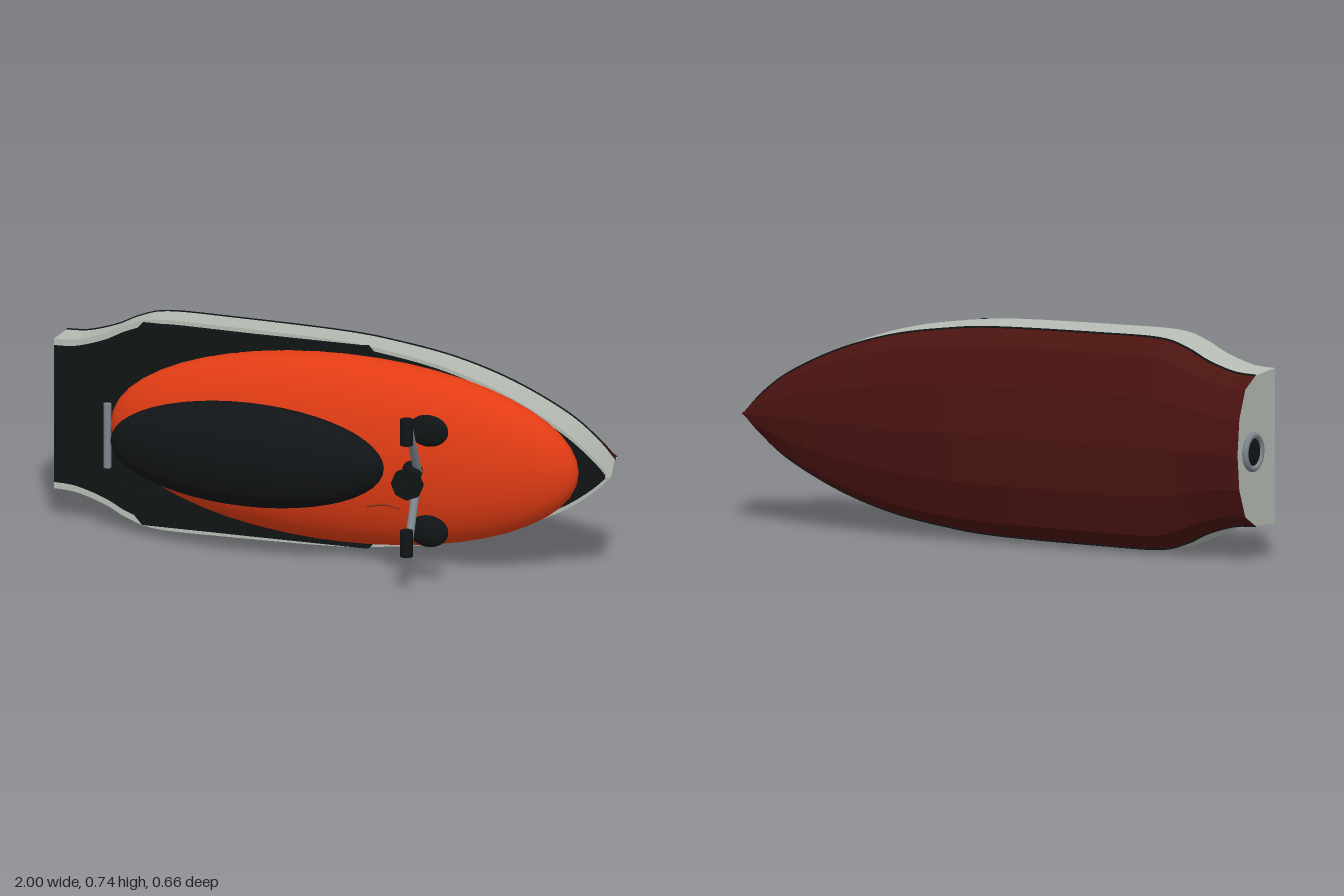
import * as THREE from 'three';
import { mergeGeometries } from 'three/addons/utils/BufferGeometryUtils.js';

const MID = 0.372; // height of the craft's centre plane (it lies on its side)
const mat = (color) => new THREE.MeshStandardMaterial({ color, side: THREE.DoubleSide });
const black = mat(0x111416), orange = mat(0xe23c14), red = mat(0x4a1310),
  pale = mat(0xb6bcb4), metal = mat(0x7c848c);
const V = (x, y, z) => new THREE.Vector3(x, y, z);

export function createModel() {
  const model = new THREE.Group();
  const add = (name, geometry, material, x = 0, y = 0, z = 0) => {
    const mesh = new THREE.Mesh(geometry, material);
    mesh.name = name;
    mesh.position.set(x, y + MID, z);
    model.add(mesh);
    return mesh;
  };
  const ellipsoid = (name, material, c, r, tilt = 0) => {
    const g = new THREE.SphereGeometry(1, 48, 32).rotateX(Math.PI / 2).scale(...r).rotateY(tilt);
    return add(name, g, material, ...c);
  };
  const rod = (name, material, a, b, r0, r1 = r0, sides = 20) => {
    const d = b.clone().sub(a);
    const m = add(name, new THREE.CylinderGeometry(r1, r0, d.length(), sides), material,
      ...a.clone().add(b).multiplyScalar(0.5).toArray());
    m.quaternion.setFromUnitVectors(V(0, 1, 0), d.normalize());
    return m;
  };

  // Hull plan outline: x along the craft, half width
  const outline = new THREE.SplineCurve([
    [-0.98, 0.262], [-0.9, 0.268], [-0.8, 0.3], [-0.72, 0.34], [-0.62, 0.367], [-0.4, 0.369],
    [0, 0.362], [0.2, 0.343], [0.4, 0.308], [0.6, 0.246], [0.8, 0.155], [0.92, 0.075], [1, 0],
  ].map((p) => new THREE.Vector2(...p))).getPoints(72);
  const bow = (x) => Math.max(0, (x - 0.1) / 0.9);
  const rise = (x) => 1 - 0.75 * bow(x) ** 2;
  const topZ = (x) => -0.066 + 0.056 * bow(x) ** 2;
  const low = (x) => x - 0.05 * bow(x) ** 3;
  const rail = (f) => outline.map(({ x, y }) => V(...f(x, Math.max(0, y))));
  // Rails from deck centre, over the lip and down to the keel
  const rails = [
    rail((x) => [Math.min(x, 0.98), 0, topZ(x)]),
    rail((x, w) => [Math.min(x, 0.98), Math.max(0, w - 0.014 - (x < -0.66 ? 0.008 : 0)), topZ(x)]),
    rail((x, w) => [x, w, topZ(x)]),
    rail((x, w) => [low(x), w * 0.967, -0.203]),
    rail((x, w) => [low(x), w * 0.82, -0.203 - 0.073 * rise(x)]),
    rail((x, w) => [low(x), w * 0.455, -0.203 - 0.115 * rise(x)]),
    rail((x) => [low(x), 0, -0.203 - 0.128 * rise(x)]),
  ];
  const strip = (a, b, side) => {
    const n = a.length, pts = [...a, ...b].map((p) => V(p.x, p.y * side, p.z)), idx = [];
    for (let i = 0; i < n - 1; i++) {
      const quad = [i, i + 1, n + i, i + 1, n + i + 1, n + i];
      idx.push(...(side > 0 ? quad : quad.reverse()));
    }
    const g = new THREE.BufferGeometry().setFromPoints(pts);
    g.setIndex(idx);
    g.computeVertexNormals();
    return g;
  };
  const skin = (name, from, to, material) => {
    const parts = [];
    for (let i = from; i < to; i++)
      for (const s of [1, -1]) parts.push(strip(rails[i], rails[i + 1], s));
    add(name, mergeGeometries(parts), material);
  };
  skin('deck', 0, 1, black);
  skin('sideBand', 1, 3, pale);
  skin('lowerHull', 3, 6, red);

  // Flat transom closing the stern
  const half = rails.slice(1).map((r) => r[0]);
  const section = [...half, ...half.slice(0, -1).reverse().map((p) => V(p.x, -p.y, p.z))];
  const transomShape = new THREE.Shape(section.map((p) => new THREE.Vector2(p.y, p.z)));
  const transom = new THREE.ShapeGeometry(transomShape);
  transom.applyMatrix4(new THREE.Matrix4().makeBasis(V(0, 1, 0), V(0, 0, 1), V(1, 0, 0)));
  add('transom', transom, pale, -0.98);

  // Black rubbing strip along the seam
  const seam = [...rails[3], ...rails[3].slice(0, -1).reverse().map((p) => V(p.x, -p.y, p.z))];
  add('rubbingStrip', new THREE.TubeGeometry(new THREE.CatmullRomCurve3(seam), 160, 0.004, 6), black);
  rod('bowTrim', pale, V(0.95, 0, -0.203), V(0.95, 0, -0.23), 0.004, 0.001, 8);

  // Jet nozzle
  add('nozzleRing', new THREE.TorusGeometry(0.056, 0.011, 12, 32).rotateY(Math.PI / 2), metal, -0.988, 0, -0.235);
  rod('nozzleBore', black, V(-0.975, 0, -0.235), V(-0.99, 0, -0.235), 0.055, 0.055, 32);

  // Footwells with ribs, one each side
  for (const s of [1, -1]) {
    const well = new THREE.Shape([[-0.74, 0.23], [-0.72, 0.29], [-0.665, 0.354], [0.13, 0.354], [0.165, 0.32], [0.165, 0.23]]
      .map(([x, y]) => new THREE.Vector2(x, y * s)));
    add('footwell', new THREE.ExtrudeGeometry(well, { depth: 0.018, bevelEnabled: false }), black, 0, 0, -0.071);
    for (let i = 0; i < 10; i++)
      add('footwellRib', new THREE.BoxGeometry(0.012, 0.09, 0.008), black, -0.65 + i * 0.08, s * 0.295, -0.05);
    add('footwellStop', new THREE.BoxGeometry(0.14, 0.016, 0.026), black, 0.07, s * 0.337, -0.056);
  }

  // Body and seat
  ellipsoid('body', orange, [0.057, 0, -0.031], [0.828, 0.326, 0.167], -0.02);
  ellipsoid('seat', black, [-0.228, 0, 0.144], [0.482, 0.178, 0.116], -0.015);
  rod('grabHandle', metal, V(-0.735, -0.112, 0.1), V(-0.735, 0.112, 0.1), 0.013);

  // Steering column, display, bars, grips and mirrors
  rod('steeringColumn', black, V(0.345, 0, 0.11), V(0.388, 0, 0.285), 0.036, 0.026);
  rod('displayPod', black, V(0.38, 0, 0.264), V(0.38, 0, 0.284), 0.055, 0.055, 8);
  for (const s of [1, -1]) {
    rod('handlebar', metal, V(0.375, 0, 0.147), V(0.39, s * 0.215, 0.295), 0.014);
    rod('grip', black, V(0.39, s * 0.15, 0.312), V(0.39, s * 0.24, 0.312), 0.021);
    ellipsoid('mirror', black, [0.435, s * 0.176, 0.219], [0.07, 0.055, 0.025]);
  }

  // Safety lanyard
  const cord = new THREE.CatmullRomCurve3([V(0.35, -0.092, 0.27), V(0.3, -0.105, 0.21), V(0.25, -0.122, 0.155), V(0.185, -0.147, 0.115)]);
  add('lanyard', new THREE.TubeGeometry(cord, 24, 0.004, 8), mat(0xa03a18));
  return model;
}
